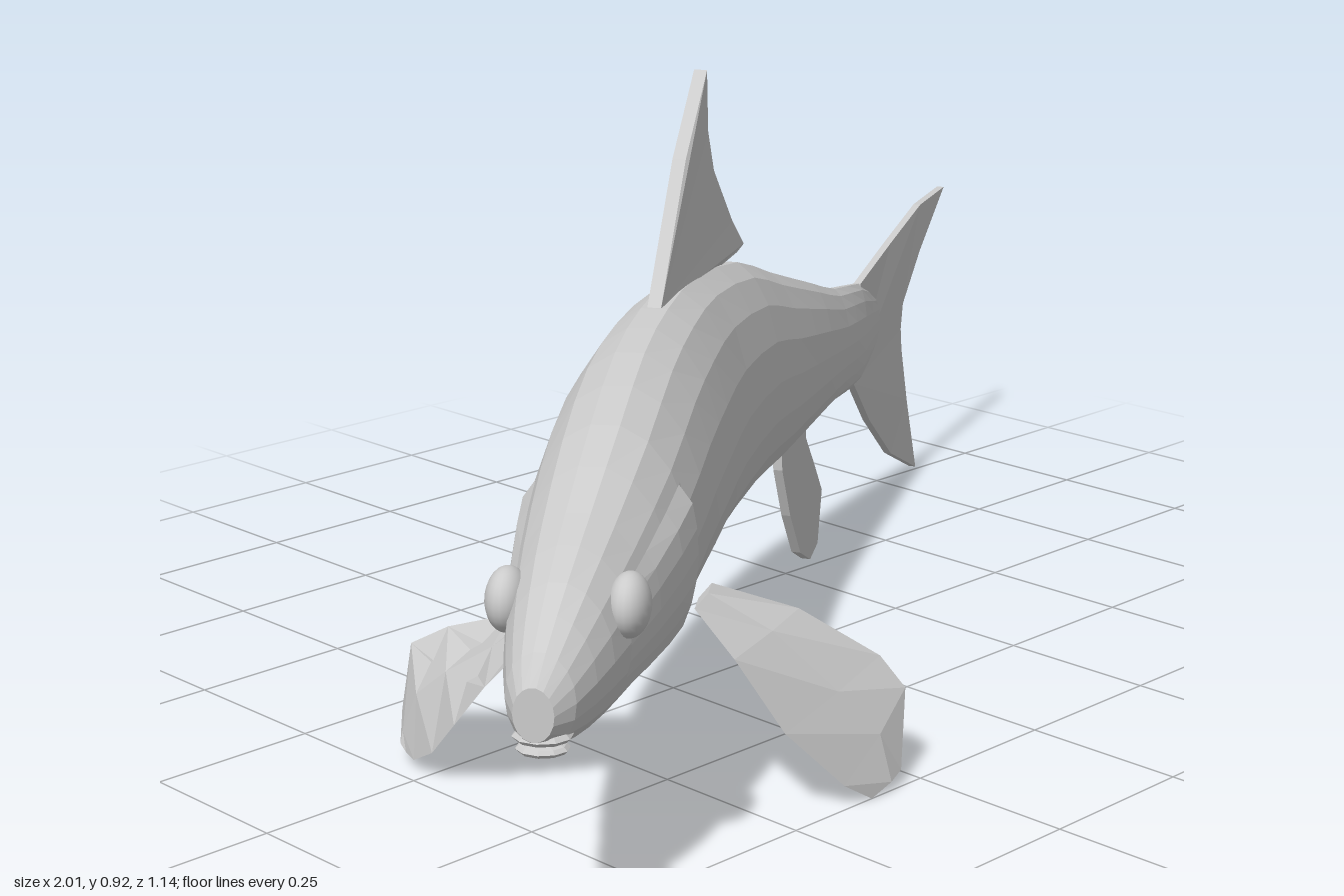
import * as THREE from 'three';

const material = new THREE.MeshStandardMaterial({ color: 0xcccccc, flatShading: true });
const thin = new THREE.MeshStandardMaterial({ color: 0xcccccc, flatShading: true, side: THREE.DoubleSide });
const smooth = new THREE.MeshStandardMaterial({ color: 0xcccccc });

// Body stations: x, centreline z, top y, bottom y, half width
const stations = [
  [-0.995, 0.545, 0.355, 0.285, 0.026], [-0.97, 0.53, 0.39, 0.266, 0.045],
  [-0.9, 0.485, 0.45, 0.25, 0.07], [-0.8, 0.412, 0.5, 0.235, 0.092],
  [-0.66, 0.31, 0.565, 0.222, 0.112], [-0.5, 0.185, 0.61, 0.215, 0.117],
  [-0.36, 0.085, 0.63, 0.207, 0.112], [-0.2, -0.02, 0.632, 0.21, 0.1],
  [0, -0.13, 0.605, 0.224, 0.085], [0.14, -0.195, 0.555, 0.228, 0.07],
  [0.33, -0.28, 0.49, 0.243, 0.048], [0.45, -0.335, 0.45, 0.25, 0.034],
  [0.57, -0.387, 0.43, 0.25, 0.02], [0.68, -0.435, 0.39, 0.29, 0.006],
  [1, -0.57, 0.36, 0.32, 0.004],
];

// Smooth value of one station column at x
function column(x, k) {
  const last = stations.length - 1;
  let i = 0;
  while (i < last - 1 && x > stations[i + 1][0]) i++;
  const slope = (j) => {
    const a = stations[Math.max(j - 1, 0)], b = stations[Math.min(j + 1, last)];
    return (b[k] - a[k]) / (b[0] - a[0]);
  };
  const p = stations[i], q = stations[i + 1], h = q[0] - p[0], t = (x - p[0]) / h;
  const s = t * t * (3 - 2 * t);
  return p[k] * (1 - s) + q[k] * s
    + h * (t * (1 - t) ** 2 * slope(i) - t * t * (1 - t) * slope(i + 1));
}

// Sideways direction of the bent body at x
function sideways(x) {
  const dz = column(x + 0.04, 1) - column(x - 0.04, 1);
  return new THREE.Vector3(-dz, 0, 0.08).normalize();
}

function bodyPoint(x, angle, scale = 1) {
  const top = column(x, 2), bottom = column(x, 3);
  const p = sideways(x).multiplyScalar(column(x, 4) * Math.cos(angle) * scale);
  p.x += x;
  p.y = (top + bottom) / 2 + (top - bottom) / 2 * Math.sin(angle) * scale;
  p.z += column(x, 1);
  return p;
}

// Skin over rows of points
function loft(rows, closed, caps) {
  const n = rows[0].length, points = rows.flat(), index = [];
  for (let i = 0; i < rows.length - 1; i++) {
    for (let j = 0; j < (closed ? n : n - 1); j++) {
      const a = i * n + j, b = i * n + (j + 1) % n;
      index.push(a, a + n, b, b, a + n, b + n);
    }
  }
  if (caps) {
    const end = (rows.length - 1) * n;
    for (let j = 1; j < n - 1; j++) index.push(0, j, j + 1, end, end + j + 1, end + j);
  }
  const g = new THREE.BufferGeometry().setFromPoints(points);
  g.setIndex(index);
  g.computeVertexNormals();
  return g;
}

// Upright fin standing on the centreline
function uprightFin(outline, thickness) {
  const shape = new THREE.Shape(outline.map(([x, y]) => new THREE.Vector2(x, y)));
  const g = new THREE.ExtrudeGeometry(shape, { depth: thickness, bevelEnabled: false });
  const pos = g.attributes.position;
  for (let i = 0; i < pos.count; i++) {
    const x = pos.getX(i), d = pos.getZ(i) - thickness / 2, n = sideways(x);
    pos.setXYZ(i, x + n.x * d, pos.getY(i), column(x, 1) + n.z * d);
  }
  g.computeVertexNormals();
  return g;
}

// Paddle fin with a lens section between its front and rear edges
function paddleFin(pairs, thickness) {
  const v = (p) => new THREE.Vector3(...p);
  const chord = v(pairs[1][1]).sub(v(pairs[1][0]));
  const reach = v(pairs[pairs.length - 1][0]).sub(v(pairs[0][0]));
  const n = chord.cross(reach).normalize().multiplyScalar(thickness / 2);
  return loft(pairs.map(([a, b]) => {
    const lead = v(a), trail = v(b), mid = lead.clone().lerp(trail, 0.5);
    return [lead, mid.clone().add(n), trail, mid.clone().sub(n)];
  }), true, true);
}

export function createModel() {
  const model = new THREE.Group();
  const add = (name, geometry, mat = material) => {
    const mesh = new THREE.Mesh(geometry, mat);
    mesh.name = name;
    model.add(mesh);
    return mesh;
  };

  // Body: each station plus one in between
  const xs = [];
  for (let i = 0; i < stations.length - 1; i++) {
    xs.push(stations[i][0]);
    if (i > 0 && i < stations.length - 2) xs.push((stations[i][0] + stations[i + 1][0]) / 2);
  }
  const sides = 18;
  add('body', loft(xs.map((x) => Array.from({ length: sides },
    (_, j) => bodyPoint(x, (j / sides) * Math.PI * 2))), true, true));

  // Gill covers: raised patches with a step at the rear
  for (const [name, centre] of [['leftGillCover', 0], ['rightGillCover', Math.PI]]) {
    const dir = centre ? -1 : 1;
    const rows = [[-0.86, 1], [-0.78, 1.04], [-0.71, 1.06], [-0.655, 1.07], [-0.65, 0.97]];
    add(name, loft(rows.map(([x, s]) => Array.from({ length: 8 }, (_, j) => {
      const a = -0.8 + (j / 7) * 1.35;
      const edge = j === 0 || j === 7 ? 0.99 : s;
      return bodyPoint(x, centre + dir * a, edge);
    })), false, false), thin);
  }

  // Eyes
  for (const [name, side] of [['leftEye', 1], ['rightEye', -1]]) {
    const eye = add(name, new THREE.SphereGeometry(0.042, 20, 14), smooth);
    const n = sideways(-0.855);
    eye.position.set(-0.855, 0.405, column(-0.855, 1)).addScaledVector(n, side * 0.077);
    eye.rotation.y = Math.atan2(n.x, n.z);
    eye.scale.z = 0.65;
  }

  // Lips
  for (const [name, y, size] of [['upperLip', 0.284, 0.038], ['lowerLip', 0.268, 0.034]]) {
    const lip = add(name, new THREE.SphereGeometry(size, 10, 6));
    lip.position.set(-0.968, y, 0.53);
    lip.rotation.y = 0.62;
    lip.scale.set(0.85, 0.28, 1);
  }

  // Upright fins
  add('dorsalFin', uprightFin([[-0.36, 0.628], [-0.27, 0.615], [-0.1, 0.61], [0.01, 0.615],
    [0.04, 0.622], [-0.01, 0.67], [-0.09, 0.765], [-0.115, 0.83], [-0.118, 0.922],
    [-0.22, 0.81]], 0.02));
  add('tailFin', uprightFin([[0.54, 0.255], [0.62, 0.165], [0.73, 0.07], [0.86, 0.005],
    [0.81, 0.15], [0.78, 0.255], [0.775, 0.295], [0.785, 0.34], [0.87, 0.42], [0.995, 0.515],
    [0.87, 0.507], [0.72, 0.468], [0.57, 0.428]], 0.013));
  add('analFin', uprightFin([[0.2, 0.26], [0.205, 0.2], [0.24, 0.11], [0.285, 0.03],
    [0.33, 0.003], [0.365, 0.02], [0.385, 0.11], [0.35, 0.165], [0.31, 0.225], [0.31, 0.26]], 0.016));

  // Pectoral fins: front edge and rear edge pairs from root to tip
  add('leftPectoralFin', paddleFin([
    [[-0.56, 0.3, 0.37], [-0.44, 0.285, 0.28]],
    [[-0.545, 0.24, 0.43], [-0.36, 0.25, 0.37]],
    [[-0.49, 0.13, 0.47], [-0.27, 0.175, 0.44]],
    [[-0.4, 0.035, 0.495], [-0.25, 0.13, 0.47]],
    [[-0.35, 0.003, 0.5], [-0.285, 0.025, 0.495]],
  ], 0.018), thin);
  add('rightPectoralFin', paddleFin([
    [[-0.73, 0.28, 0.25], [-0.58, 0.28, 0.14]],
    [[-0.75, 0.185, 0.16], [-0.61, 0.225, 0.05]],
    [[-0.748, 0.11, 0.09], [-0.64, 0.19, -0.05]],
    [[-0.74, 0.05, 0.03], [-0.66, 0.155, -0.11]],
    [[-0.725, 0.018, -0.03], [-0.68, 0.06, -0.11]],
    [[-0.715, 0.018, -0.06], [-0.7, 0.025, -0.08]],
  ], 0.018), thin);

  return model;
}
